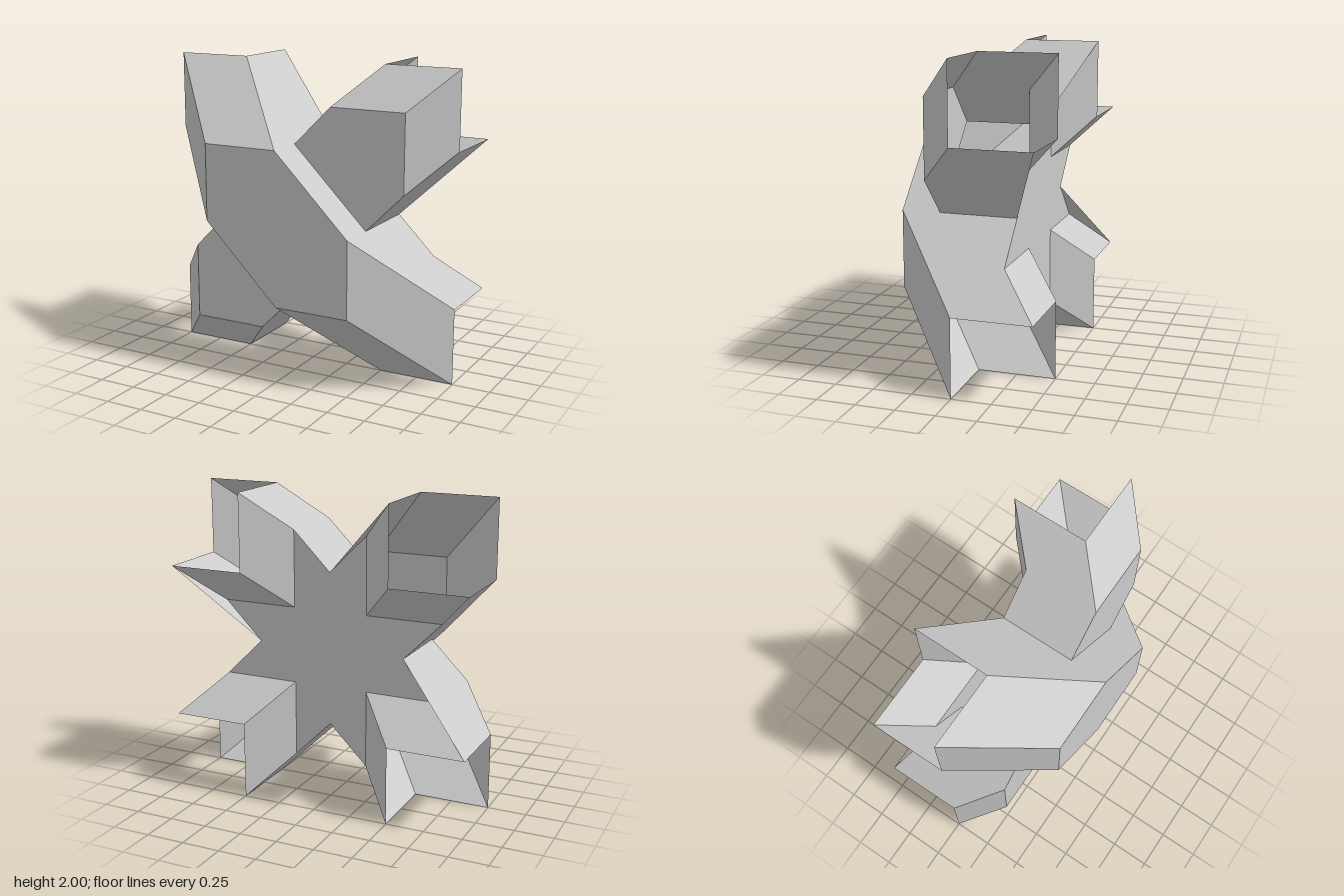
import * as THREE from 'three';

const material = new THREE.MeshStandardMaterial({ color: 0xcccccc, flatShading: true, side: THREE.DoubleSide });

// Flat-faced mesh from polygons, each split as a fan from its first corner
function facetMesh(name, polygons) {
  const pos = [];
  for (const p of polygons)
    for (let i = 1; i < p.length - 1; i++) pos.push(...p[0], ...p[i], ...p[i + 1]);
  const geo = new THREE.BufferGeometry();
  geo.setAttribute('position', new THREE.Float32BufferAttribute(pos, 3));
  geo.computeVertexNormals();
  const mesh = new THREE.Mesh(geo, material);
  mesh.name = name;
  return mesh;
}

// Mirror a polygon into a quadrant, optionally swapping x and y, keeping it facing outward
function place(polygon, sx, sy, swap) {
  const out = polygon.map(([x, y, z]) => (swap ? [sx * y, sy * x, z] : [sx * x, sy * y, z]));
  return sx * sy * (swap ? -1 : 1) < 0 ? out.reverse() : out;
}

// Hollow diagonal arm, open at its end; h is the height of its front face
function arm(name, sx, sy, h) {
  const tip = [1, 1, 0], rim = [0.5, 1, 0], rimBack = [0.5, 1, -0.5];
  const frontInner = [0.5 - h, 1 - h, h], frontOuter = [1 - h, 1 - h, h];
  const backFold = [0.25, 0.75, -0.25];
  const half = [
    [tip, rim, frontInner, frontOuter],                                         // sloped end
    [frontOuter, frontInner, [0, 0.5, h], [0.25, 0.25, h]],                     // front
    [backFold, [0, 0.5, -0.25], [0, 0.5, 0.25], frontInner, rim, rimBack],      // side
    [rimBack, [0.5, 0.5, -0.5], [0.25, 0.25, -0.25], backFold],                 // flared back
  ];
  return facetMesh(name, [false, true].flatMap((swap) => half.map((p) => place(p, sx, sy, swap))));
}

export function createModel() {
  const group = new THREE.Group();
  const body = new THREE.Group();
  body.name = 'crossBody';
  body.position.y = 1;
  group.add(body);

  // Arms: the raised bar runs from upper -x to lower +x, the lower bar crosses it
  body.add(
    arm('raisedArmUpper', -1, 1, 0.5),
    arm('raisedArmLower', 1, -1, 0.5),
    arm('crossArmUpper', 1, 1, 0.25),
    arm('crossArmLower', -1, -1, 0.25),
  );

  // Middle of the raised bar: front plate and the two steps down to the cross arms
  const step = [[0.5, 0, 0.25], [0, 0.5, 0.25], [0, 0.5, 0.5], [0.5, 0, 0.5]];
  body.add(facetMesh('raisedCentre', [
    [[0.5, 0, 0.5], [0, 0.5, 0.5], [-0.5, 0, 0.5], [0, -0.5, 0.5]],
    place(step, 1, 1, false),
    place(step, -1, -1, false),
  ]));

  // Star-shaped back plate
  const outline = [];
  for (let i = 0; i < 4; i++) {
    const turn = new THREE.Vector2();
    for (const [x, y] of [[0.5, 0], [0.75, 0.25], [0.25, 0.25], [0.25, 0.75]])
      outline.push(new THREE.Vector2(x, y).rotateAround(turn, (i * Math.PI) / 2));
  }
  const star = new THREE.Mesh(new THREE.ShapeGeometry(new THREE.Shape(outline)), material);
  star.name = 'starBack';
  star.rotation.y = Math.PI;
  star.position.z = -0.25;
  body.add(star);

  return group;
}
